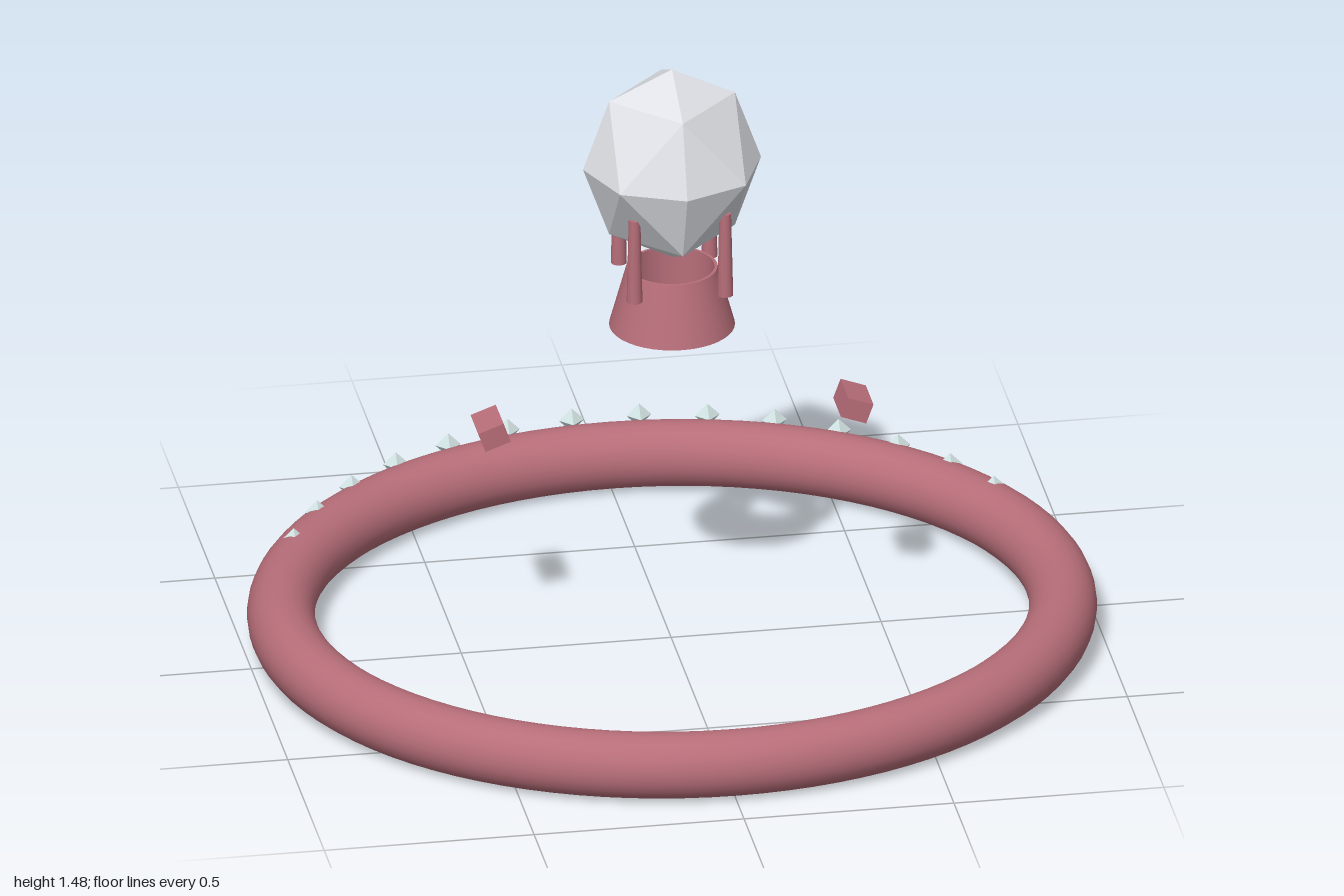
import * as THREE from 'three';

export function createModel() {
  const model = new THREE.Group();
  const roseMetal = new THREE.MeshStandardMaterial({ color: 0xb76e79 });
  roseMetal.name = 'rose metal';
  const clearStone = new THREE.MeshStandardMaterial({ color: 0xdfe1e6, flatShading: true });
  clearStone.name = 'clear stone';
  const paleStone = new THREE.MeshStandardMaterial({ color: 0xcfe0e0, flatShading: true });
  paleStone.name = 'pale stone';

  // Everything is placed around the ring's centre
  const ring = new THREE.Group();
  ring.name = 'ring';
  ring.position.z = 0.012;
  model.add(ring);

  function add(name, geometry, material, x, y, z) {
    const mesh = new THREE.Mesh(geometry, material);
    mesh.name = name;
    mesh.position.set(x, y, z);
    ring.add(mesh);
    return mesh;
  }

  // Band: a lying torus, slightly narrowed front to back
  const bandGeometry = new THREE.TorusGeometry(0.92, 0.08, 24, 96);
  bandGeometry.rotateX(Math.PI / 2).scale(1, 1, 0.92);
  add('band', bandGeometry, roseMetal, 0, 0.082, 0);

  // Setting base: flared collar with a straight bore; split walls keep the rims sharp
  const collarProfile = [[0.1, 0], [0.148, 0], [0.107, 0.15], [0.1, 0.15], [0.1, 0]];
  const collar = new THREE.Group();
  collar.name = 'collar';
  collar.position.y = 0.825;
  ring.add(collar);
  ['collarUnderside', 'collarWall', 'collarRim', 'collarBore'].forEach((name, i) => {
    const points = [collarProfile[i], collarProfile[i + 1]].map(([r, y]) => new THREE.Vector2(r, y));
    const mesh = new THREE.Mesh(new THREE.LatheGeometry(points, 40), roseMetal);
    mesh.name = name;
    collar.add(mesh);
  });

  // Main stone
  const stoneGeometry = new THREE.OctahedronGeometry(0.212, 1).scale(1, 1.15, 1);
  add('mainStone', stoneGeometry, clearStone, 0, 1.242, 0);

  // Four tapered prongs
  const prongGeometry = new THREE.CylinderGeometry(0.014, 0.019, 0.212, 12);
  for (const x of [-0.108, 0.108]) {
    for (const z of [-0.108, 0.108]) add('prong', prongGeometry, roseMetal, x, 1.048, z);
  }

  // Tilted shoulder blocks
  const shoulderGeometry = new THREE.BoxGeometry(0.064, 0.051, 0.106);
  for (const side of [-1, 1]) {
    const block = add('shoulder', shoulderGeometry, roseMetal, side * 0.432, 0.587, 0);
    block.rotation.z = -side * 0.35;
  }

  // Accent stones along the back of the band, every ten degrees
  const accentGeometry = new THREE.OctahedronGeometry(0.03);
  for (let degrees = -65; degrees <= 65; degrees += 10) {
    const a = THREE.MathUtils.degToRad(degrees);
    add('accentStone', accentGeometry, paleStone, 0.92 * Math.sin(a), 0.147, -0.92 * Math.cos(a));
  }

  return model;
}
